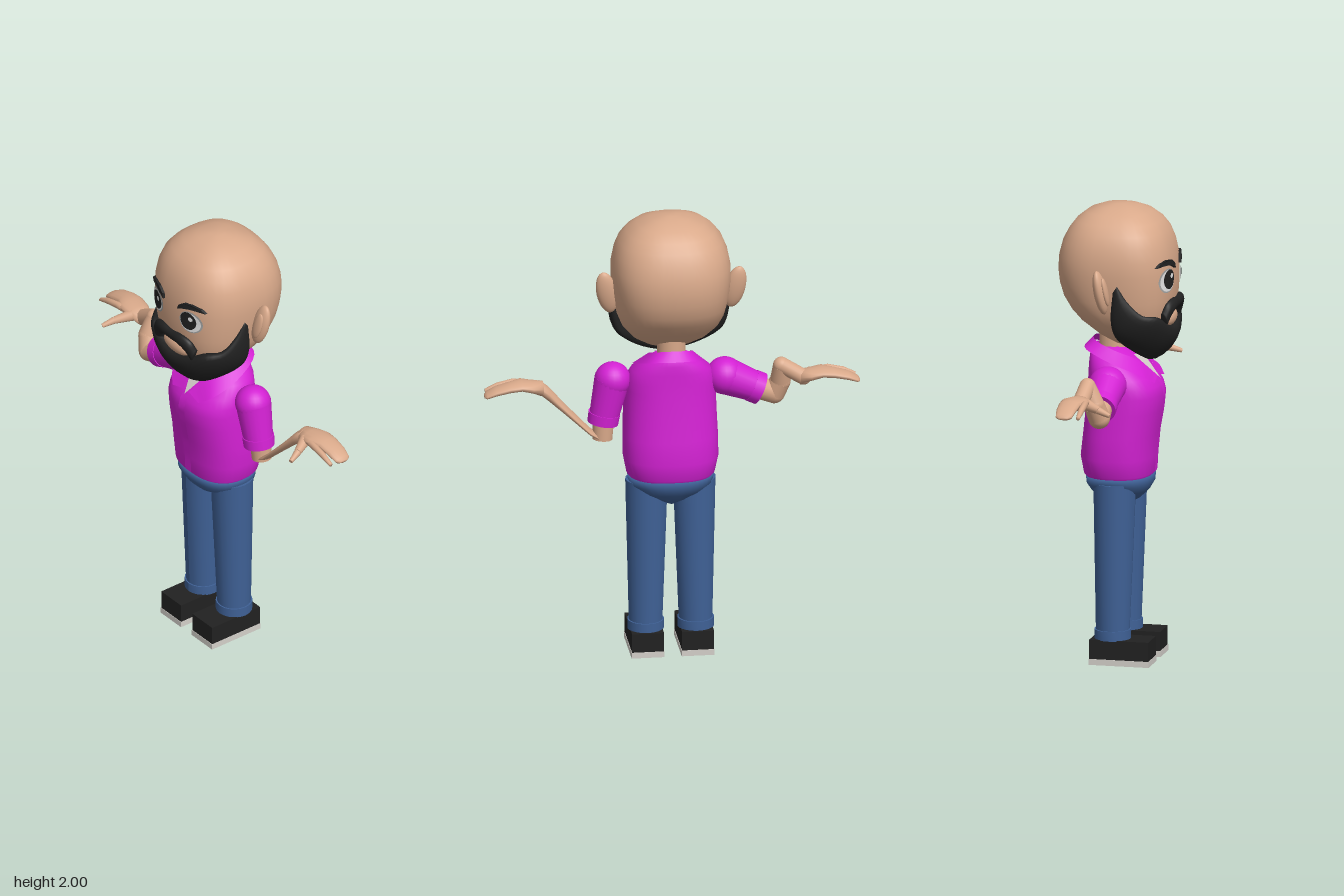
import * as THREE from 'three';

const V = (x, y, z) => new THREE.Vector3(x, y, z);
const mat = (name, color, side = THREE.FrontSide) => {
  const m = new THREE.MeshStandardMaterial({ color, side });
  m.name = name;
  return m;
};

// Closed smooth surface through cross-section loops, capped at both ends
function skinLoops(loops) {
  const n = loops[0].length, pos = [], idx = [];
  for (const loop of loops) for (const p of loop) pos.push(p.x, p.y, p.z);
  for (let j = 0; j < loops.length - 1; j++) for (let i = 0; i < n; i++) {
    const a = j * n + i, b = j * n + (i + 1) % n;
    idx.push(a, b, a + n, b, b + n, a + n);
  }
  for (const end of [0, loops.length - 1]) {
    const c = V(0, 0, 0);
    loops[end].forEach(p => c.addScaledVector(p, 1 / n));
    const k = pos.length / 3;
    pos.push(c.x, c.y, c.z);
    for (let i = 0; i < n; i++) {
      const a = end * n + i, b = end * n + (i + 1) % n;
      end ? idx.push(a, b, k) : idx.push(b, a, k);
    }
  }
  const g = new THREE.BufferGeometry();
  g.setAttribute('position', new THREE.Float32BufferAttribute(pos, 3));
  g.setIndex(idx);
  g.computeVertexNormals();
  return g;
}

// Horizontal superellipse rings: [y, half width, front z, back z]
const sgnPow = (v, e) => Math.sign(v) * Math.abs(v) ** e;
const body = (rings, p = 2.5, n = 36) => skinLoops(rings.map(([y, hx, zf, zb]) =>
  Array.from({ length: n }, (_, i) => {
    const t = i / n * Math.PI * 2;
    return V(hx * sgnPow(Math.sin(t), 2 / p), y, (zf + zb) / 2 + (zf - zb) / 2 * sgnPow(Math.cos(t), 2 / p));
  })));

// Elliptical sections running along +x: [x, y, z, y radius, z radius]
const limb = (rows, n = 14) => skinLoops(rows.map(([x, y, z, ry, rz]) =>
  Array.from({ length: n }, (_, i) => {
    const t = i / n * Math.PI * 2;
    return V(x, y + ry * Math.cos(t), z + rz * Math.sin(t));
  })));

// Tapered cylinder from a to b
function bone(a, b, r1, r2 = r1) {
  const d = b.clone().sub(a), g = new THREE.CylinderGeometry(r2, r1, d.length(), 20);
  g.applyQuaternion(new THREE.Quaternion().setFromUnitVectors(V(0, 1, 0), d.normalize()));
  return g.translate((a.x + b.x) / 2, (a.y + b.y) / 2, (a.z + b.z) / 2);
}
const ball = (c, rx, ry = rx, rz = rx) => new THREE.SphereGeometry(1, 24, 16).scale(rx, ry, rz).translate(c.x, c.y, c.z);

function mirrored(g) {
  g = g.clone().scale(-1, 1, 1);
  const ix = g.index.array;
  for (let i = 0; i < ix.length; i += 3) [ix[i], ix[i + 1]] = [ix[i + 1], ix[i]];
  g.computeVertexNormals();
  return g;
}

// Hair band swept along x between an upper and a lower edge; keys run from side to middle
function hairBand(keys) {
  const flip = k => [V(-k[0].x, k[0].y, k[0].z), V(-k[1].x, k[1].y, k[1].z), k[2]];
  const all = [...keys.map(flip), ...keys.slice(0, -1).reverse()];
  const up = new THREE.CatmullRomCurve3(all.map(k => k[0]));
  const low = new THREE.CatmullRomCurve3(all.map(k => k[1]));
  const bulge = new THREE.CatmullRomCurve3(all.map((k, i) => V(i, k[2], 0)));
  const loops = [];
  for (let s = 0; s <= 40; s++) {
    const u = up.getPoint(s / 40), l = low.getPoint(s / 40), b = bulge.getPoint(s / 40).y;
    const mid = u.clone().add(l).multiplyScalar(0.5), half = u.clone().sub(l).multiplyScalar(0.5);
    const out = V(mid.x, 0, mid.z).normalize();
    loops.push(Array.from({ length: 16 }, (_, i) => {
      const a = i / 16 * Math.PI * 2;
      return mid.clone().addScaledVector(half, Math.cos(a)).addScaledVector(out, b * Math.sin(a));
    }));
  }
  return skinLoops(loops);
}

const HEAD = [[1.385, 0.05, 0.16, 0.03], [1.40, 0.11, 0.185, -0.02], [1.44, 0.165, 0.205, -0.085],
  [1.50, 0.21, 0.222, -0.16], [1.55, 0.23, 0.235, -0.205], [1.60, 0.241, 0.243, -0.235], [1.66, 0.25, 0.247, -0.253],
  [1.72, 0.255, 0.247, -0.26], [1.78, 0.255, 0.243, -0.256], [1.84, 0.243, 0.23, -0.24], [1.89, 0.222, 0.21, -0.215],
  [1.93, 0.19, 0.18, -0.185], [1.965, 0.145, 0.135, -0.14], [1.988, 0.085, 0.08, -0.08], [1.998, 0.03, 0.03, -0.03]];
const TORSO = [[0.80, 0.17, 0.13, -0.13], [0.825, 0.19, 0.152, -0.15], [0.90, 0.205, 0.155, -0.163], [1.0, 0.204, 0.165, -0.152],
  [1.1, 0.2, 0.183, -0.142], [1.17, 0.198, 0.19, -0.136], [1.21, 0.195, 0.18, -0.133], [1.25, 0.19, 0.155, -0.13],
  [1.30, 0.17, 0.105, -0.128], [1.34, 0.125, 0.065, -0.126], [1.375, 0.07, 0.02, -0.118]];

// Front surface height of a ringed body, used to lay thin details on it
function frontZ(rings, x, y, p = 2.5) {
  let i = 0;
  while (i < rings.length - 2 && rings[i + 1][0] < y) i++;
  const k = (y - rings[i][0]) / (rings[i + 1][0] - rings[i][0]);
  const [hx, zf, zb] = [1, 2, 3].map(c => THREE.MathUtils.lerp(rings[i][c], rings[i + 1][c], k));
  return (zf + zb) / 2 + (zf - zb) / 2 * Math.max(0, 1 - Math.abs(x / hx) ** p) ** (1 / p);
}
function drape(g, rings, off) {
  const a = g.attributes.position;
  for (let i = 0; i < a.count; i++) a.setZ(i, frontZ(rings, a.getX(i), a.getY(i)) + off + a.getZ(i));
  g.computeVertexNormals();
  return g;
}

export function createModel() {
  const root = new THREE.Group();
  const skin = mat('skin', 0xd9a98a), shirt = mat('shirt purple', 0xd321d3, THREE.DoubleSide);
  const denim = mat('denim', 0x3f6196), black = mat('black', 0x212121), pale = mat('off white', 0xd4d0ca, THREE.DoubleSide);
  const grey = mat('eye grey', 0xa5a5a3), white = mat('eye white', 0xf0f0f0);
  const add = (name, g, m) => {
    const o = new THREE.Mesh(g, m);
    o.name = name;
    root.add(o);
  };
  const pair = (name, g, m) => { add(name + 'Left', g, m); add(name + 'Right', mirrored(g), m); };

  // Head, neck and ears
  add('head', body(HEAD), skin);
  add('neck', bone(V(0, 1.28, -0.03), V(0, 1.5, -0.03), 0.062), skin);
  pair('ear', ball(V(0, 0, 0), 0.045, 0.1, 0.027).rotateZ(-0.2).rotateX(-0.15).translate(0.277, 1.66, -0.022), skin);
  pair('earInner', ball(V(0, 0, 0), 0.025, 0.065, 0.012).rotateZ(-0.2).rotateX(-0.15).translate(0.285, 1.665, 0.002), skin);

  // Beard, moustache and mouth
  add('beard', hairBand([
    [V(0.245, 1.685, 0.045), V(0.245, 1.655, 0.025), 0.01],
    [V(0.243, 1.62, 0.085), V(0.24, 1.53, 0.015), 0.022],
    [V(0.222, 1.555, 0.15), V(0.222, 1.455, 0.03), 0.03],
    [V(0.17, 1.54, 0.205), V(0.16, 1.385, 0.09), 0.045],
    [V(0.10, 1.50, 0.225), V(0.08, 1.335, 0.14), 0.05],
    [V(0, 1.475, 0.218), V(0, 1.322, 0.14), 0.06]]), black);
  add('moustache', hairBand([
    [V(0.135, 1.545, 0.215), V(0.105, 1.475, 0.215), 0.025],
    [V(0.11, 1.588, 0.23), V(0.085, 1.525, 0.232), 0.025],
    [V(0.06, 1.604, 0.243), V(0.05, 1.55, 0.243), 0.022],
    [V(0, 1.597, 0.246), V(0, 1.55, 0.244), 0.018]]), black);
  add('mouth', ball(V(0, 1.508, 0.218), 0.085, 0.036, 0.026), skin);

  // Eyes and brows laid on the face
  const disc = (x, y, rx, ry, off) => drape(new THREE.CircleGeometry(1, 28).scale(rx, ry, 1).translate(x, y, 0), HEAD, off);
  pair('eyeRim', disc(0.113, 1.69, 0.056, 0.053, 0.004), grey);
  pair('eyeWhite', disc(0.113, 1.69, 0.05, 0.047, 0.006), white);
  pair('iris', disc(0.106, 1.696, 0.04, 0.043, 0.008), black);
  for (const s of [-1, 1]) add('eyeGlint', disc(s * 0.106 + 0.014, 1.71, 0.011, 0.011, 0.010), white);
  const brow = new THREE.Shape([[0.048, 1.735], [0.055, 1.758], [0.085, 1.778], [0.125, 1.782], [0.165, 1.772], [0.182, 1.755],
    [0.15, 1.76], [0.115, 1.759], [0.08, 1.75]].map(([x, y]) => new THREE.Vector2(x, y)));
  const browGeo = new THREE.ExtrudeGeometry(brow, { depth: 0.012, bevelEnabled: false });
  add('browLeft', drape(browGeo.clone(), HEAD, 0), black);
  browGeo.setIndex([...Array(browGeo.attributes.position.count).keys()]);
  add('browRight', drape(mirrored(browGeo), HEAD, 0), black);

  // Shirt with placket, undershirt and collar
  add('shirt', body(TORSO, 2.4), shirt);
  add('placket', drape(new THREE.PlaneGeometry(0.04, 0.4, 2, 20).translate(0, 1.03, 0), TORSO, 0.005), shirt);
  const under = new THREE.BufferGeometry().setFromPoints([V(-0.06, 1.345, 0.075), V(0, 1.235, 0.178), V(0.06, 1.345, 0.075)]);
  under.computeVertexNormals();
  add('undershirt', under, pale);
  const collarKeys = [[V(0.018, 1.25, 0.168), V(0.09, 1.232, 0.172)], [V(0.065, 1.325, 0.09), V(0.14, 1.27, 0.13)],
    [V(0.095, 1.365, 0), V(0.152, 1.315, 0.01)], [V(0.07, 1.40, -0.09), V(0.1, 1.365, -0.125)], [V(0, 1.41, -0.115), V(0, 1.372, -0.15)]];
  const edges = [0, 1].map(e => new THREE.CatmullRomCurve3([...collarKeys.map(k => k[e]),
    ...collarKeys.slice(0, -1).reverse().map(k => V(-k[e].x, k[e].y, k[e].z))]).getPoints(32));
  const collar = new THREE.PlaneGeometry(1, 1, 32, 1);
  edges.forEach((pts, e) => pts.forEach((p, i) => collar.attributes.position.setXYZ(e * 33 + i, p.x, p.y, p.z)));
  collar.computeVertexNormals();
  add('collar', collar, shirt);

  // Left arm: hanging sleeve, forearm raised outward
  add('shoulderLeft', ball(V(0.25, 1.25, 0), 0.078), shirt);
  add('sleeveLeft', bone(V(0.292, 1.06, 0), V(0.252, 1.25, 0), 0.062, 0.077), shirt);
  add('cuffLeft', bone(V(0.292, 1.055, 0), V(0.285, 1.1, 0), 0.067, 0.069), shirt);
  add('elbowLeft', bone(V(0.295, 0.985, -0.012), V(0.288, 1.1, -0.008), 0.043, 0.047), skin);
  add('forearmLeft', limb([[0.30, 0.988, -0.012, 0.01, 0.036], [0.35, 1.022, -0.014, 0.014, 0.042],
    [0.46, 1.135, -0.022, 0.022, 0.041], [0.53, 1.21, -0.03, 0.032, 0.038], [0.57, 1.245, -0.04, 0.03, 0.042]]), skin);

  // Right arm: sleeve held outward, forearm folded up
  add('shoulderRight', ball(V(-0.235, 1.245, 0), 0.082), shirt);
  add('sleeveRight', bone(V(-0.385, 1.178, 0.003), V(-0.235, 1.245, 0), 0.064, 0.081), shirt);
  add('cuffRight', bone(V(-0.39, 1.175, 0.003), V(-0.35, 1.193, 0.003), 0.07), shirt);
  const arm = [[V(-0.37, 1.185, 0.005), 0.05], [V(-0.45, 1.15, 0.015), 0.047], [V(-0.475, 1.21, 0), 0.045],
    [V(-0.475, 1.293, -0.03), 0.035], [V(-0.57, 1.237, -0.04), 0.034]];
  arm.forEach(([p, r], i) => {
    add('armJointRight', ball(p, r), skin);
    if (i) add('forearmRight', bone(arm[i - 1][0], p, arm[i - 1][1], r), skin);
  });

  // Hands
  pair('hand', limb([[0.555, 1.238, -0.04, 0.034, 0.038], [0.60, 1.25, -0.042, 0.025, 0.055], [0.65, 1.261, -0.042, 0.021, 0.06],
    [0.70, 1.257, -0.055, 0.02, 0.047], [0.76, 1.243, -0.056, 0.018, 0.043], [0.80, 1.226, -0.056, 0.013, 0.036], [0.81, 1.222, -0.056, 0.006, 0.02]]), skin);
  pair('finger', limb([[0.62, 1.253, -0.005, 0.015, 0.018], [0.68, 1.257, 0.006, 0.016, 0.014],
    [0.75, 1.243, 0.007, 0.014, 0.013], [0.80, 1.224, 0.007, 0.008, 0.009]]), skin);
  pair('thumbBase', bone(V(0.60, 1.243, -0.01), V(0.637, 1.225, 0.06), 0.026, 0.016), skin);
  pair('thumbTip', bone(V(0.637, 1.225, 0.06), V(0.655, 1.208, 0.112), 0.016, 0.009), skin);

  // Jeans
  add('hips', body([[0.685, 0.02, 0.05, -0.05], [0.71, 0.08, 0.09, -0.085], [0.745, 0.145, 0.125, -0.12],
    [0.78, 0.182, 0.145, -0.14], [0.815, 0.186, 0.146, -0.142]], 2.3), denim);
  pair('trouserLeg', bone(V(0.108, 0.12, -0.008), V(0.103, 0.79, 0), 0.072, 0.092), denim);
  pair('trouserCuff', bone(V(0.108, 0.108, -0.008), V(0.108, 0.15, -0.008), 0.079), denim);

  // Shoes
  pair('shoe', new THREE.BoxGeometry(0.138, 0.085, 0.26).translate(0.108, 0.0675, 0.035), black);
  pair('sole', new THREE.BoxGeometry(0.142, 0.026, 0.264).translate(0.108, 0.013, 0.035), pale);
  return root;
}
